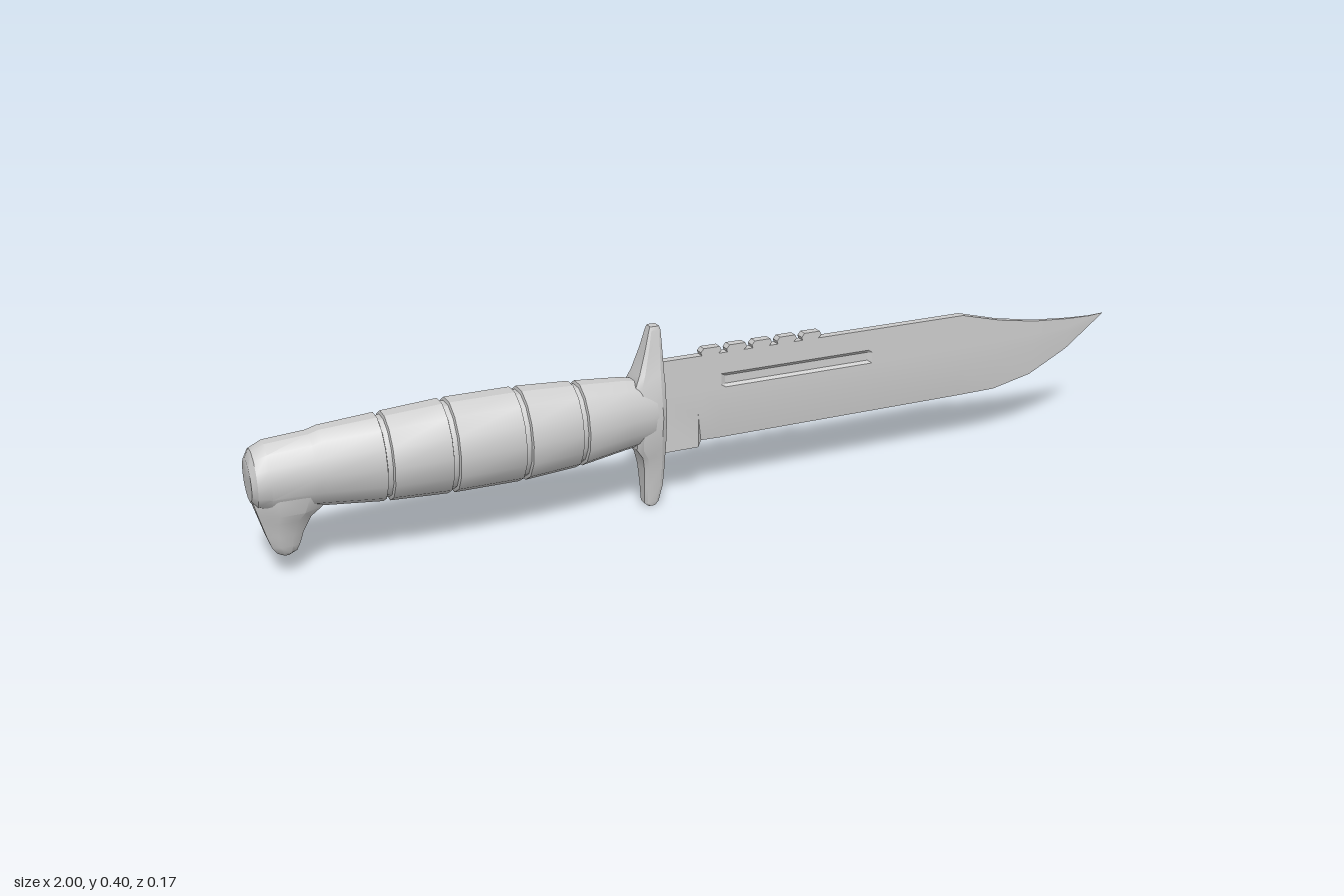
import * as THREE from 'three';
import { toCreasedNormals } from 'three/addons/utils/BufferGeometryUtils.js';

const material = new THREE.MeshStandardMaterial({ color: 0xcccccc });

// Skin a list of equal-length closed rings, cap both ends, face outwards
function loft(rings, crease) {
  const n = rings[0].length;
  const tris = [];
  for (let i = 0; i < rings.length - 1; i++) {
    for (let j = 0; j < n; j++) {
      const k = (j + 1) % n;
      const [a, b, c, d] = [rings[i][j], rings[i][k], rings[i + 1][k], rings[i + 1][j]];
      tris.push([a, b, c], [a, c, d]);
    }
  }
  const cap = (ring, flip) => {
    const mid = [0, 1, 2].map(q => ring.reduce((s, p) => s + p[q], 0) / n);
    ring.forEach((p, j) => {
      const r = ring[(j + 1) % n];
      tris.push(flip ? [mid, r, p] : [mid, p, r]);
    });
  };
  cap(rings[0], true);
  cap(rings[rings.length - 1], false);
  // The sign of the enclosed volume tells the winding
  const v = tris.map(t => t.map(p => new THREE.Vector3(...p)));
  const volume = v.reduce((s, [a, b, c]) => s + a.dot(b.clone().cross(c)), 0);
  const flat = tris.flatMap(([a, b, c]) => (volume < 0 ? [a, c, b] : [a, b, c])).flat();
  const geo = new THREE.BufferGeometry();
  geo.setAttribute('position', new THREE.Float32BufferAttribute(flat, 3));
  geo.computeVertexNormals();
  return toCreasedNormals(geo, crease);
}

// Linear lookup in rows sorted by their first value
function sample(rows, x) {
  let i = 0;
  while (i < rows.length - 2 && rows[i + 1][0] < x) i++;
  const [a, b] = [rows[i], rows[i + 1]];
  const t = THREE.MathUtils.clamp((x - a[0]) / (b[0] - a[0]), 0, 1);
  return a.map((v, k) => v + (b[k] - v) * t);
}

export function createModel() {
  const model = new THREE.Group();
  const add = (name, geo) => {
    const mesh = new THREE.Mesh(geo, material);
    mesh.name = name;
    model.add(mesh);
    return mesh;
  };

  // Blade stations: x, spine y, bevel y, edge y, half thickness, edge half thickness, fuller depth
  const stations = [
    [-0.15, 0.32, 0.19, 0.115, 0.01, 0.01, 0],
    [-0.06, 0.32, 0.19, 0.115, 0.01, 0.01, 0],
    [-0.05, 0.32, 0.19, 0.126, 0.01, 0.001, 0],
    [-0.005, 0.32, 0.19, 0.125, 0.01, 0.001, 0],
    [0.005, 0.32, 0.19, 0.125, 0.01, 0.001, 0.005],
    [0.355, 0.32, 0.19, 0.125, 0.01, 0.001, 0.005],
    [0.365, 0.32, 0.19, 0.125, 0.01, 0.001, 0],
    [0.6, 0.32, 0.19, 0.125, 0.01, 0.001, 0],
    [0.7, 0.295, 0.203, 0.126, 0.008, 0.001, 0],
    [0.8, 0.278, 0.219, 0.147, 0.006, 0.001, 0],
    [0.9, 0.27, 0.238, 0.196, 0.004, 0.0008, 0],
    [0.96, 0.268, 0.256, 0.24, 0.002, 0.0005, 0],
    [1, 0.27, 0.2697, 0.2694, 0.0005, 0.0003, 0],
  ];
  add('blade', loft(stations.map(([x, top, bevel, edge, t, e, d]) => {
    const at = f => bevel + (top - bevel) * f;
    const side = [
      [top, t], [at(0.64), t], [at(0.59), t - d], [at(0.45), t - d], [at(0.4), t], [bevel, t], [edge, e],
    ];
    return [
      ...side.map(([y, z]) => [x, y, z]),
      ...side.reverse().map(([y, z]) => [x, y, -z]),
    ];
  }), 0.15));

  // Saw teeth along the spine
  const toothShape = new THREE.Shape([
    [0, 0], [0.034, 0], [0.045, 0.009], [0.041, 0.018], [0.004, 0.018], [-0.003, 0.01],
  ].map(p => new THREE.Vector2(...p)));
  const toothGeo = new THREE.ExtrudeGeometry(toothShape, { depth: 0.02, bevelEnabled: false });
  for (let i = 0; i < 5; i++) {
    add('sawTooth', toothGeo).position.set(-0.05 + i * 0.06, 0.317, -0.01);
  }

  // Grip profile: x, top y, bottom y, half width
  const profile = [
    [-1, 0.25, 0.165, 0.045],
    [-0.99, 0.27, 0.15, 0.055],
    [-0.965, 0.282, 0.14, 0.061],
    [-0.88, 0.288, 0.135, 0.061],
    [-0.86, 0.294, 0.133, 0.064],
    [-0.74, 0.302, 0.12, 0.076],
    [-0.61, 0.31, 0.113, 0.083],
    [-0.46, 0.31, 0.112, 0.083],
    [-0.335, 0.303, 0.12, 0.073],
    [-0.23, 0.295, 0.137, 0.06],
    [-0.18, 0.285, 0.143, 0.05],
    [-0.15, 0.275, 0.15, 0.043],
  ];
  const grooves = [-0.74, -0.61, -0.46, -0.335];
  const gripRing = (x, inset) => {
    const [, top, bottom, w] = sample(profile, x);
    return Array.from({ length: 14 }, (_, i) => {
      const a = (i / 14) * Math.PI * 2;
      return [x, (top + bottom) / 2 + ((top - bottom) / 2 - inset) * Math.sin(a), (w - inset) * Math.cos(a)];
    });
  };
  // Ring grooves replace the plain stations they fall on
  const cuts = profile.flatMap(([x]) => (grooves.includes(x)
    ? [[x - 0.007, 0], [x - 0.005, 0.007], [x + 0.005, 0.007], [x + 0.007, 0]]
    : [[x, 0]]));
  add('grip', loft(cuts.map(([x, inset]) => gripRing(x, inset)), 0.5));

  // Eight-sided section lying flat at height y
  const section = (y, x0, x1, w, chamfer = 0.3, narrow = 0.55) => {
    const c = (x1 - x0) * chamfer;
    return [
      [x0, y, w * narrow], [x0 + c, y, w], [x1 - c, y, w], [x1, y, w * narrow],
      [x1, y, -w * narrow], [x1 - c, y, -w], [x0 + c, y, -w], [x0, y, -w * narrow],
    ];
  };

  // Pommel hook: y, back x, front x, half width
  add('pommelHook', loft([
    [0.22, -1, -0.84, 0.052],
    [0.17, -0.998, -0.85, 0.05],
    [0.138, -0.99, -0.868, 0.043],
    [0.12, -0.985, -0.89, 0.036],
    [0.09, -0.977, -0.906, 0.028],
    [0.065, -0.969, -0.914, 0.023],
    [0.05, -0.96, -0.921, 0.018],
    [0.043, -0.95, -0.932, 0.011],
  ].map(r => section(...r)), 0.6));

  // Cross guard: y, back x, front x, half width
  add('guard', loft([
    [0, -0.178, -0.162, 0.011],
    [0.008, -0.187, -0.155, 0.013],
    [0.045, -0.188, -0.146, 0.017],
    [0.09, -0.19, -0.144, 0.025],
    [0.118, -0.195, -0.144, 0.031],
    [0.14, -0.21, -0.144, 0.037],
    [0.21, -0.21, -0.144, 0.047],
    [0.28, -0.21, -0.144, 0.037],
    [0.303, -0.199, -0.144, 0.03],
    [0.35, -0.183, -0.144, 0.02],
    [0.392, -0.171, -0.145, 0.013],
    [0.4, -0.168, -0.148, 0.011],
  ].map(r => section(...r, 0.18, 0.8)), 0.5));

  return model;
}
